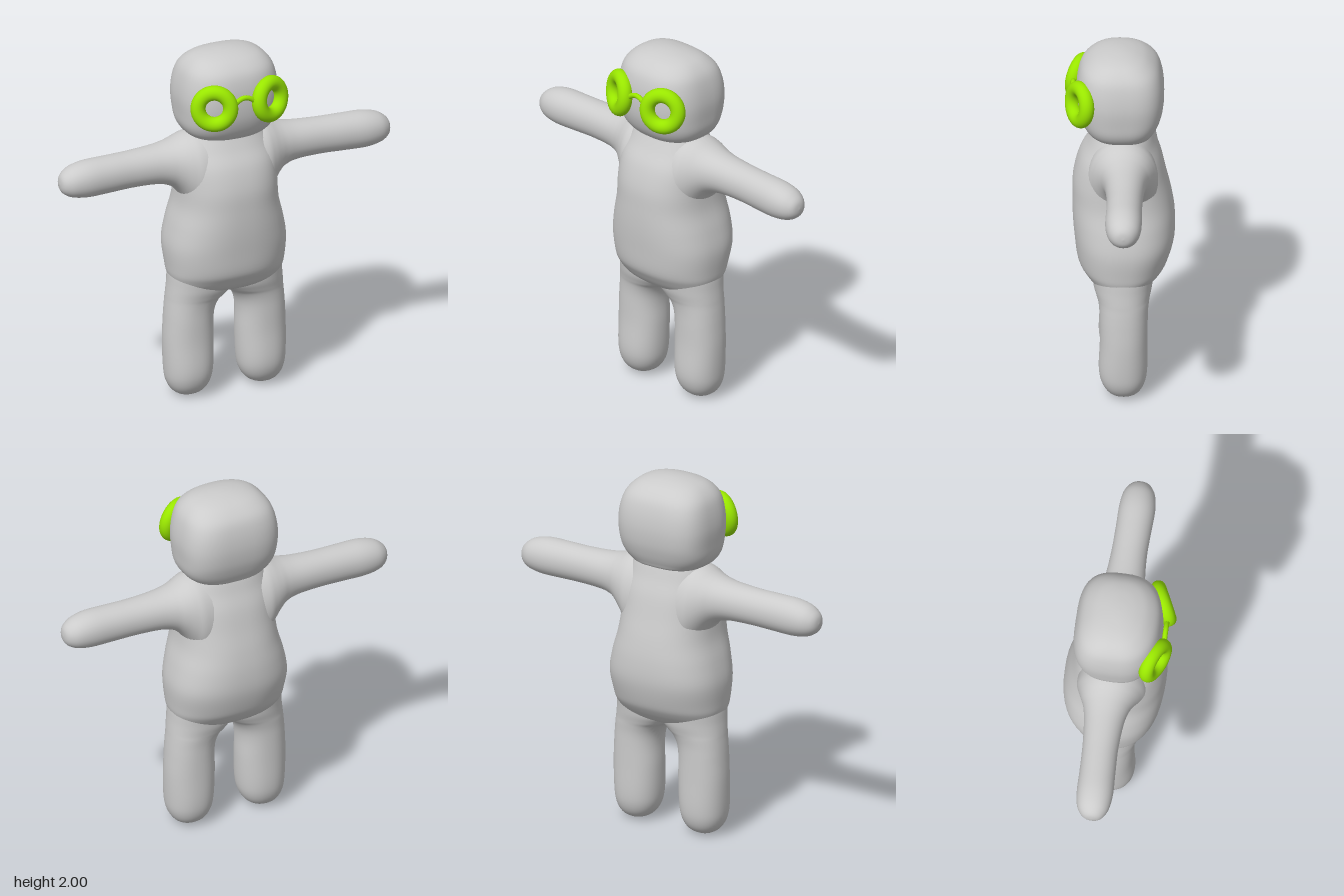
import * as THREE from 'three';
import { mergeVertices } from 'three/addons/utils/BufferGeometryUtils.js';

const grey = new THREE.MeshStandardMaterial({ color: 0xcccccc, roughness: 0.7 });
const green = new THREE.MeshStandardMaterial({ color: 0x99e600 });

// Smooth loft through sections [t, aMin, aMax, bMin, bMax, exponent at bMin, exponent at bMax].
// place(t, a, b) returns the point; side -1 mirrors it across x.
function loft(sections, place, side = 1, segments = 56, steps = 5) {
  const positions = [], index = [];
  const rows = (sections.length - 1) * steps;
  const last = sections.length - 1;
  const spline = (p0, p1, p2, p3, f) => {
    const m1 = (p2 - p0) / 2, m2 = (p3 - p1) / 2;
    return p1 + f * (m1 + f * (3 * (p2 - p1) - 2 * m1 - m2 + f * (2 * (p1 - p2) + m1 + m2)));
  };
  for (let i = 0; i <= rows; i++) {
    const k = Math.min(Math.floor(i / steps), last - 1), f = i / steps - k;
    const s = [-1, 0, 1, 2].map((d) => sections[Math.min(Math.max(k + d, 0), last)]);
    const [t, a0, a1, b0, b1, n0, n1] = s[0].map((_, c) => spline(s[0][c], s[1][c], s[2][c], s[3][c], f));
    for (let j = 0; j < segments; j++) {
      const angle = (j / segments) * Math.PI * 2;
      const c = Math.cos(angle), d = Math.sin(angle), e = 2 / (d < 0 ? n0 : n1);
      const a = (a0 + a1) / 2 + ((a1 - a0) / 2) * Math.sign(c) * Math.abs(c) ** e;
      const b = (b0 + b1) / 2 + ((b1 - b0) / 2) * Math.sign(d) * Math.abs(d) ** e;
      const [x, y, z] = place(t, a, b);
      positions.push(x * side, y, z);
      if (i === rows) continue;
      const p = i * segments + j, q = i * segments + ((j + 1) % segments);
      const u = p + segments, v = q + segments;
      if (side > 0) index.push(p, u, q, q, u, v);
      else index.push(p, q, u, q, v, u);
    }
  }
  let geometry = new THREE.BufferGeometry();
  geometry.setAttribute('position', new THREE.Float32BufferAttribute(positions, 3));
  geometry.setIndex(index);
  geometry = mergeVertices(geometry, 1e-5);
  geometry.computeVertexNormals();
  return geometry;
}

const upright = (t, a, b) => [a, t, b];
const sideways = (t, a, b) => [t, b, a];

function add(parent, name, geometry, material) {
  const mesh = new THREE.Mesh(geometry, material);
  mesh.name = name;
  parent.add(mesh);
  return mesh;
}

export function createModel() {
  const model = new THREE.Group();
  model.name = 'figure';

  // Torso: [height, half width, back, front, exponents]
  const torso = [
    [0.60, 0, -0.02, -0.02, 2.1, 2.1],
    [0.605, 0.19, -0.10, 0.07, 2.1, 2.1],
    [0.64, 0.29, -0.175, 0.15, 2.2, 2.2],
    [0.70, 0.32, -0.23, 0.20, 2.3, 2.3],
    [0.76, 0.33, -0.262, 0.23, 2.3, 2.3],
    [0.88, 0.337, -0.293, 0.245, 2.4, 2.4],
    [1.00, 0.315, -0.295, 0.255, 2.4, 2.4],
    [1.12, 0.283, -0.278, 0.257, 2.4, 2.4],
    [1.24, 0.272, -0.25, 0.252, 2.4, 2.4],
    [1.36, 0.265, -0.222, 0.22, 2.4, 2.4],
    [1.45, 0.245, -0.19, 0.17, 2.3, 2.3],
    [1.52, 0.212, -0.168, 0.135, 2.4, 2.3],
    [1.56, 0.19, -0.15, 0.12, 2.4, 2.3],
  ];
  // Head: flat-backed rounded box with a bulging face
  const head = [
    [1.515, 0, -0.02, -0.02, 2.6, 2.4],
    [1.51, 0.12, -0.10, 0.09, 2.6, 2.4],
    [1.512, 0.19, -0.165, 0.145, 2.7, 2.4],
    [1.54, 0.236, -0.187, 0.178, 2.8, 2.5],
    [1.59, 0.265, -0.21, 0.207, 3, 2.5],
    [1.66, 0.275, -0.23, 0.228, 3.2, 2.5],
    [1.75, 0.28, -0.238, 0.235, 3.2, 2.5],
    [1.84, 0.268, -0.228, 0.228, 3.2, 2.5],
    [1.91, 0.243, -0.202, 0.205, 3, 2.5],
    [1.96, 0.195, -0.15, 0.155, 2.7, 2.4],
    [1.985, 0.135, -0.095, 0.10, 2.4, 2.2],
    [1.997, 0.06, -0.04, 0.045, 2.1, 2.1],
    [2.0, 0, 0, 0, 2, 2],
  ];
  const symmetric = ([t, w, ...rest]) => [t, -w, w, ...rest];
  add(model, 'torso', loft(torso.map(symmetric), upright), grey);
  add(model, 'head', loft(head.map(symmetric), upright), grey);

  // Leg: [height, inner x, outer x, back, front]
  const leg = [
    [0, 0.22, 0.22, -0.02, -0.02],
    [0.007, 0.175, 0.265, -0.065, 0.025],
    [0.035, 0.127, 0.308, -0.108, 0.07],
    [0.09, 0.094, 0.337, -0.136, 0.102],
    [0.17, 0.08, 0.348, -0.147, 0.115],
    [0.32, 0.075, 0.352, -0.148, 0.109],
    [0.44, 0.077, 0.347, -0.149, 0.11],
    [0.51, 0.066, 0.342, -0.151, 0.112],
    [0.56, 0.038, 0.337, -0.157, 0.118],
    [0.592, -0.002, 0.334, -0.163, 0.128],
    [0.65, -0.04, 0.327, -0.175, 0.145],
    [0.75, 0, 0.315, -0.18, 0.15],
    [0.85, 0.03, 0.28, -0.15, 0.12],
  ].map((s) => [...s, 2.2, 2.2]);

  // Arm: [distance out, back, front, bottom, top]
  const arm = [
    [0.10, -0.20, 0.18, 1.0, 1.53],
    [0.19, -0.205, 0.175, 1.06, 1.532],
    [0.24, -0.19, 0.15, 1.135, 1.522],
    [0.29, -0.17, 0.12, 1.205, 1.502],
    [0.34, -0.15, 0.098, 1.243, 1.488],
    [0.42, -0.134, 0.081, 1.262, 1.476],
    [0.56, -0.122, 0.072, 1.266, 1.468],
    [0.70, -0.118, 0.076, 1.262, 1.466],
    [0.82, -0.117, 0.08, 1.26, 1.463],
    [0.90, -0.106, 0.069, 1.271, 1.446],
    [0.945, -0.083, 0.047, 1.291, 1.42],
    [0.968, -0.054, 0.02, 1.318, 1.392],
    [0.975, -0.018, -0.018, 1.355, 1.355],
  ].map((s) => [...s, 2.1, 2.1]);

  const glasses = new THREE.Group();
  glasses.name = 'glasses';
  model.add(glasses);
  for (const side of [1, -1]) {
    const label = side > 0 ? 'left' : 'right';
    add(model, label + 'Leg', loft(leg, upright, side, 40), grey);
    add(model, label + 'Arm', loft(arm, sideways, side, 40), grey);
    // Thick ring angled to follow the face
    const ring = add(glasses, label + 'Rim', new THREE.TorusGeometry(0.088, 0.041, 24, 56), green);
    ring.position.set(side * 0.165, 1.745, 0.218);
    ring.rotation.set(-0.12, side * 0.44, 0, 'YXZ');
  }

  // Arched bridge between the rims
  const arch = new THREE.CatmullRomCurve3([[-0.075, 1.745], [-0.04, 1.779], [0, 1.792], [0.04, 1.779], [0.075, 1.745]]
    .map(([x, y]) => new THREE.Vector3(x, y, 0.252)));
  add(glasses, 'bridge', new THREE.TubeGeometry(arch, 24, 0.014, 12), green);

  return model;
}
